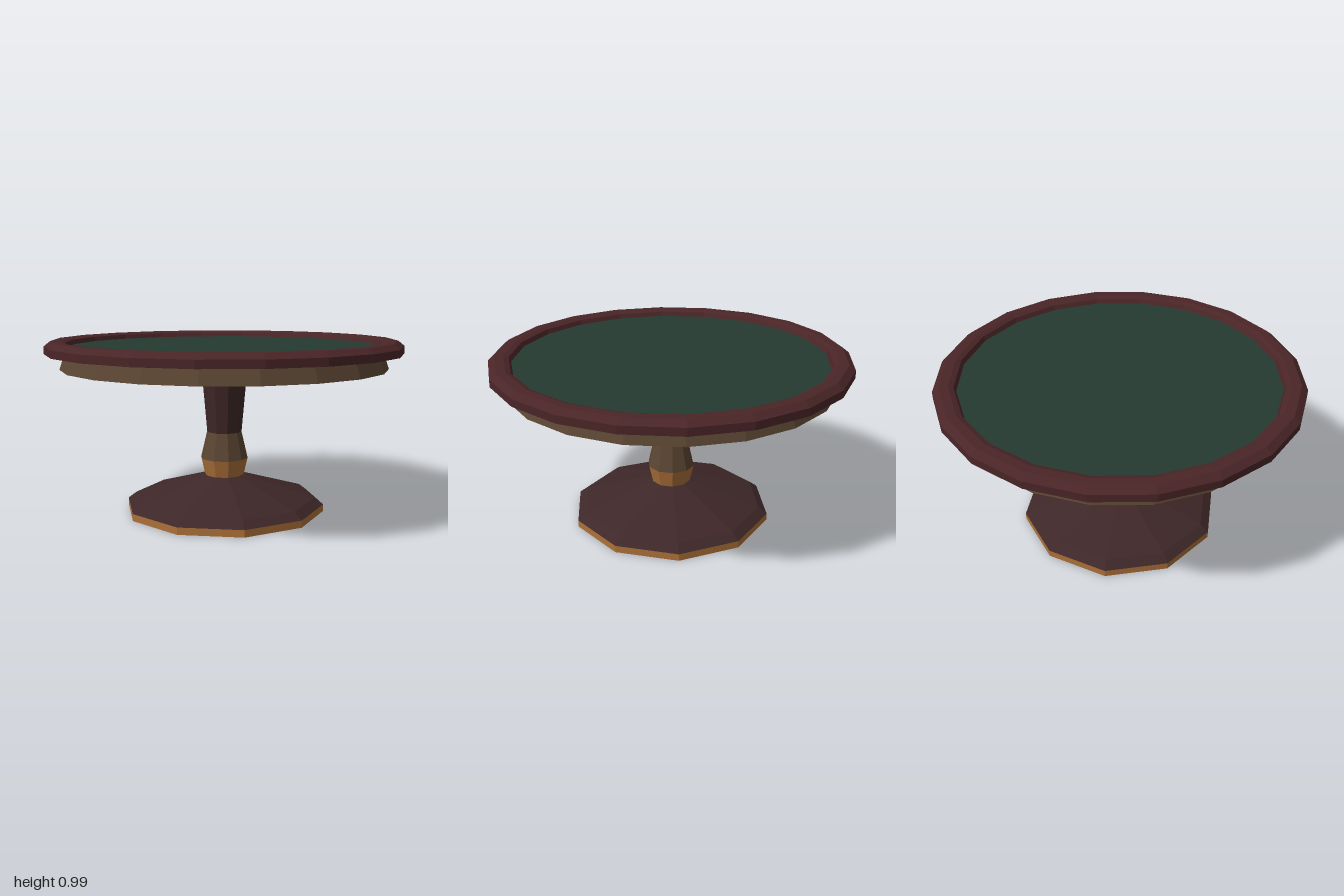
import * as THREE from 'three';

const flat = (name, color) => {
  const m = new THREE.MeshStandardMaterial({ color, flatShading: true, side: THREE.DoubleSide });
  m.name = name;
  return m;
};

export function createModel() {
  const gold = flat('gold', 0xac7038);
  const brown = flat('brown wood', 0x5a4532);
  const plum = flat('dark plum wood', 0x3e2728);
  const red = flat('red wood', 0x4a2527);
  const green = flat('green felt', 0x243a31);

  const table = new THREE.Group();
  table.name = 'roundTable';

  // Faceted ring of revolution from [radius, height] pairs, with a corner on the x axis
  const turned = (parent, name, material, sides, profile) => {
    const points = profile.map(([r, y]) => new THREE.Vector2(r, y));
    const geometry = new THREE.LatheGeometry(points, sides, Math.PI / 2).toNonIndexed();
    geometry.computeVertexNormals();
    const mesh = new THREE.Mesh(geometry, material);
    mesh.name = name;
    parent.add(mesh);
  };

  // Ten-sided pedestal, an open shell from floor to tabletop
  const pedestal = new THREE.Group();
  pedestal.name = 'pedestal';
  table.add(pedestal);
  turned(pedestal, 'footBand', gold, 10, [[0.575, 0], [0.575, 0.04]]);
  turned(pedestal, 'foot', plum, 10, [[0.575, 0.04], [0.525, 0.078], [0.113, 0.205]]);
  turned(pedestal, 'collar', gold, 10, [[0.113, 0.205], [0.136, 0.303]]);
  turned(pedestal, 'lowerColumn', brown, 10, [[0.136, 0.303], [0.1, 0.457]]);
  turned(pedestal, 'upperColumn', plum, 10, [[0.1, 0.457], [0.124, 0.73], [0.16, 0.825]]);

  // Twenty-sided tabletop
  const top = new THREE.Group();
  top.name = 'tabletop';
  table.add(top);
  turned(top, 'underside', plum, 20, [[0.25, 0.819], [0.8, 0.82], [0.92, 0.828]]);
  turned(top, 'apron', brown, 20, [[0.92, 0.828], [0.89, 0.915], [1, 0.915]]);
  turned(top, 'rim', red, 20,
    [[1, 0.915], [1, 0.957], [0.965, 0.985], [0.915, 0.985], [0.887, 0.975], [0.875, 0.95]]);

  // Playing surface set below the rim
  const felt = new THREE.Mesh(new THREE.CircleGeometry(0.876, 20).rotateX(-Math.PI / 2), green);
  felt.name = 'feltSurface';
  felt.position.y = 0.95;
  top.add(felt);

  return table;
}
